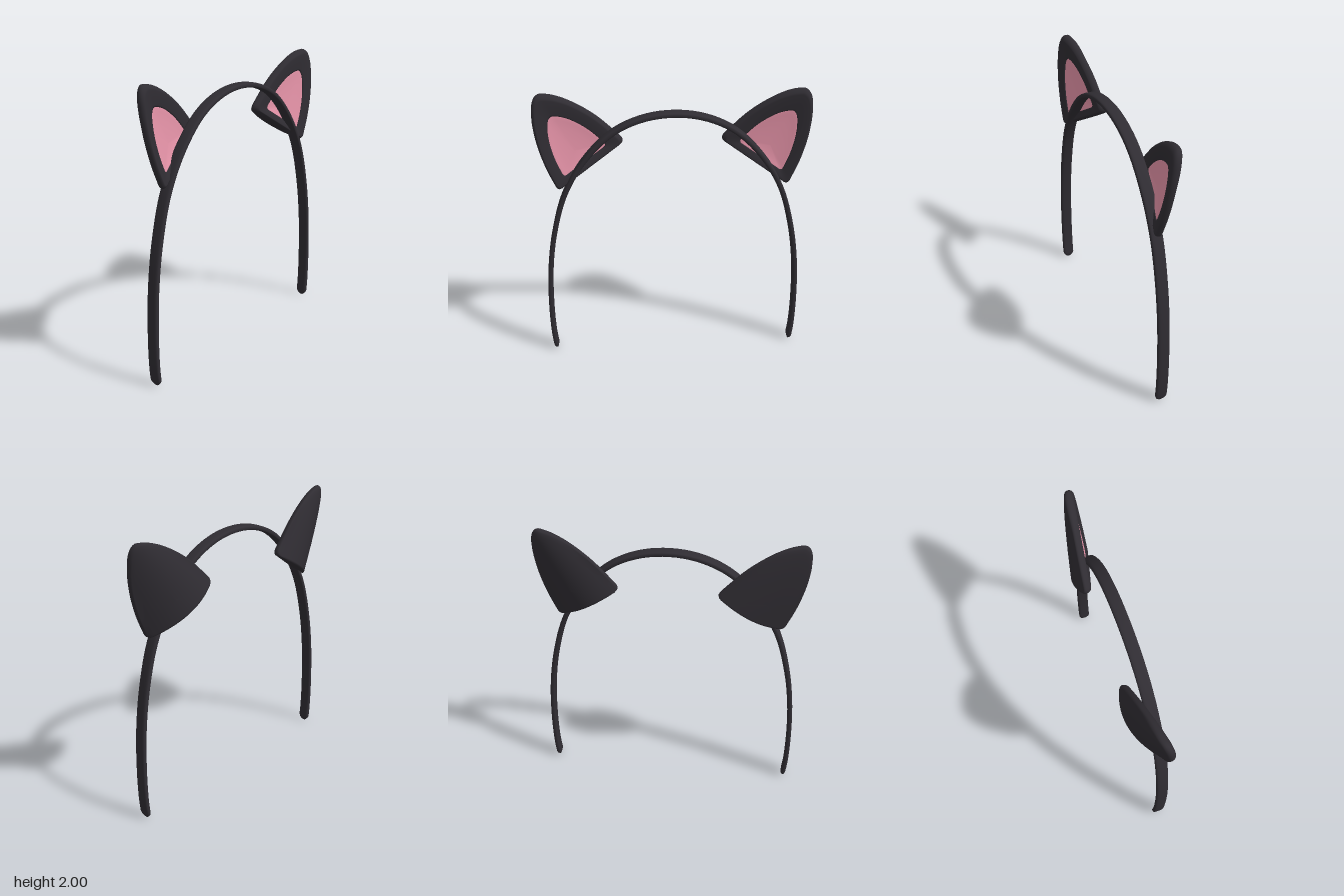
import * as THREE from 'three';

const dark = new THREE.MeshStandardMaterial({ color: 0x302d33 });
const pink = new THREE.MeshStandardMaterial({ color: 0xe895aa });

// Skin a list of closed rings (arrays of Vector3) with smooth normals
function loft(rings, flip = false) {
  const n = rings[0].length, pos = [], idx = [];
  rings.forEach(ring => ring.forEach(p => pos.push(p.x, p.y, p.z)));
  for (let i = 0; i < rings.length - 1; i++) {
    for (let j = 0; j < n; j++) {
      const k = (j + 1) % n;
      const a = i * n + j, b = a + n, c = (i + 1) * n + k, d = i * n + k;
      if (flip) idx.push(a, c, b, a, d, c);
      else idx.push(a, b, c, a, c, d);
    }
  }
  const g = new THREE.BufferGeometry();
  g.setAttribute('position', new THREE.Float32BufferAttribute(pos, 3));
  g.setIndex(idx);
  g.computeVertexNormals();
  return g;
}

function addMesh(parent, name, geometry, material) {
  const mesh = new THREE.Mesh(geometry, material);
  mesh.name = name;
  parent.add(mesh);
}

// Flat strap with rounded edges swept along an arch, tapered at both ends
function bandGeometry() {
  const half = [[0.877, 0], [0.89, 0.13], [0.893, 0.38], [0.875, 0.7], [0.827, 1.0],
    [0.738, 1.3], [0.6, 1.54], [0.41, 1.735], [0.21, 1.832]];
  const pts = [...half.map(([x, y]) => [-x, y]), [0, 1.862], ...half.slice().reverse()];
  const curve = new THREE.CatmullRomCurve3(pts.map(([x, y]) => new THREE.Vector3(x, y, 0.056)));
  curve.arcLengthDivisions = 600;
  // [position along the band, cross-section scale]
  const start = [[0, 0], [0.0003, 0.35], [0.002, 0.55], [0.005, 0.85], [0.009, 1]];
  const stations = [...start];
  for (let i = 1; i < 100; i++) stations.push([0.009 + 0.982 * i / 100, 1]);
  stations.push(...start.slice().reverse().map(([u, s]) => [1 - u, s]));
  const soft = v => Math.sign(v) * Math.pow(Math.abs(v), 0.6);
  return loft(stations.map(([u, s]) => {
    const p = curve.getPointAt(u), t = curve.getTangentAt(u);
    return Array.from({ length: 20 }, (_, j) => {
      const a = j / 20 * Math.PI * 2;
      const r = 0.018 * s * soft(Math.cos(a)), w = 0.042 * s * soft(Math.sin(a));
      return new THREE.Vector3(p.x + t.y * r, p.y - t.x * r, p.z + w);
    });
  }));
}

// Rounded triangular ear outline
function earOutline() {
  const v = (x, y) => new THREE.Vector2(x, y);
  const s = new THREE.Shape();
  s.moveTo(0.74, 1.355);
  s.quadraticCurveTo(0.78, 1.32, 0.797, 1.37);
  s.splineThru([v(0.85, 1.5), v(0.893, 1.65), v(0.915, 1.79), v(0.917, 1.89)]);
  s.quadraticCurveTo(0.912, 1.99, 0.86, 2.0);
  s.splineThru([v(0.78, 1.985), v(0.68, 1.943), v(0.57, 1.873), v(0.47, 1.79), v(0.35, 1.665)]);
  s.quadraticCurveTo(0.317, 1.63, 0.355, 1.608);
  s.lineTo(0.74, 1.355);
  return s.getSpacedPoints(110).slice(0, -1);
}

// Tilted front plane, and how far the domed back lies behind it
const frontZ = (x, y) => 0.09 + 0.2 * (x - 0.77) - 0.104 * (y - 1.34);
function thickness(x, y) {
  const dx = x - 0.55, dy = y - 1.48;
  const taper = THREE.MathUtils.clamp(1 - (dx * 0.536 + dy * 0.844) / 0.616, 0.001, 1);
  const across = (dx * 0.844 - dy * 0.536) / (0.27 * Math.sqrt(taper));
  return 0.048 + 0.087 * Math.pow(taper, 0.6) * Math.max(0, 1 - across * across);
}

// Each step: [outline scale, depth behind the front plane, share of thickness]
function earGeometry(outline, steps, side) {
  const cx = 0.655, cy = 1.6;
  return loft(steps.map(([s, depth, share]) => outline.map(p => {
    const x = cx + (p.x - cx) * s, y = cy + (p.y - cy) * s;
    return new THREE.Vector3(side * x, y, frontZ(x, y) - depth - share * thickness(x, y));
  })), side < 0);
}

export function createModel() {
  const model = new THREE.Group();
  model.name = 'earHeadband';
  addMesh(model, 'band', bandGeometry(), dark);

  // Rim, rounded edge and domed back
  const shell = [[0.62, 0.03, 0], [0.63, 0.014, 0], [0.66, 0.01, 0], [0.8, 0.004, 0], [0.91, 0, 0],
    [0.945, 0.002, 0], [0.985, 0.014, 0], [1, 0.028, 0], [1, 0, 0.75], [0.99, 0, 0.92], [0.965, 0, 1]];
  for (let s = 0.9; s > 0.05; s -= 0.1) shell.push([s, 0, 1]);
  shell.push([0, 0, 1]);
  // Shallow dish inside the rim
  const dish = [[0, 0.026, 0], [0.2, 0.025, 0], [0.4, 0.022, 0], [0.55, 0.018, 0], [0.61, 0.015, 0], [0.635, 0.016, 0]];

  const outline = earOutline();
  for (const side of [1, -1]) {
    const ear = new THREE.Group();
    ear.name = side > 0 ? 'leftEar' : 'rightEar';
    addMesh(ear, 'earShell', earGeometry(outline, shell, side), dark);
    addMesh(ear, 'innerEar', earGeometry(outline, dish, side), pink);
    model.add(ear);
  }
  return model;
}
